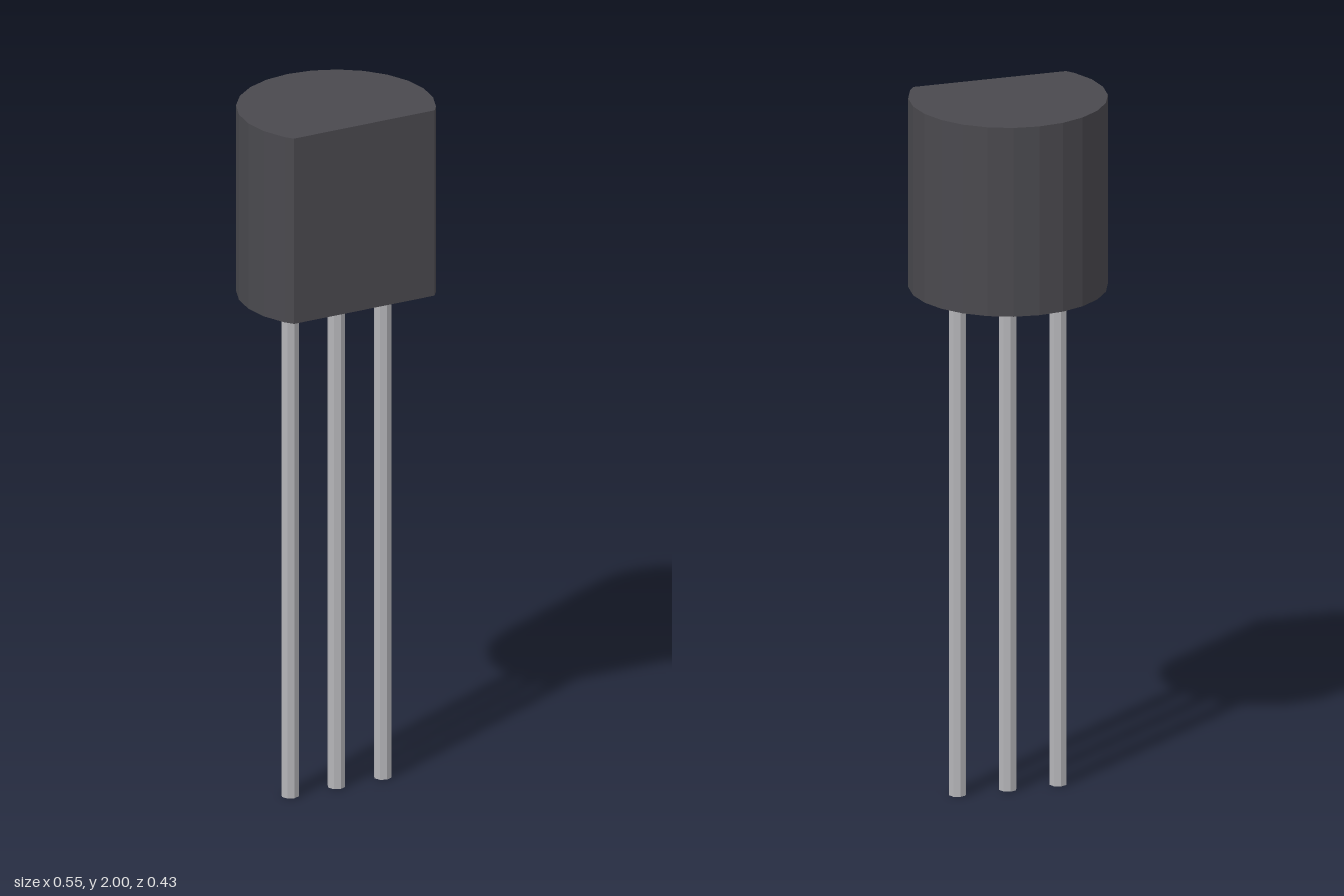
import * as THREE from 'three';

export function createModel() {
  const group = new THREE.Group();
  const plastic = new THREE.MeshStandardMaterial({ color: 0x4a494e, flatShading: true });
  plastic.name = 'dark plastic';
  const metal = new THREE.MeshStandardMaterial({ color: 0xb4b4b8, flatShading: true });
  metal.name = 'grey metal';

  const axisZ = 0.056, radius = 0.274, flatZ = 0.216, bottom = 1.455;

  // Body: 24-sided round outline cut by a flat face at the front
  const outline = [new THREE.Vector2(0.22, -flatZ)];
  for (let i = -2; i <= 14; i++) {
    const a = (i * Math.PI) / 12;
    outline.push(new THREE.Vector2(radius * Math.cos(a), radius * Math.sin(a) - axisZ));
  }
  outline.push(new THREE.Vector2(-0.22, -flatZ));
  const bodyGeometry = new THREE.ExtrudeGeometry(new THREE.Shape(outline), {
    depth: 2 - bottom, bevelEnabled: false,
  });
  bodyGeometry.rotateX(-Math.PI / 2);
  const body = new THREE.Mesh(bodyGeometry, plastic);
  body.name = 'body';
  body.position.y = bottom;
  group.add(body);

  // Three straight wire legs in a row below the body
  const legGeometry = new THREE.CylinderGeometry(0.025, 0.025, bottom, 8);
  ['rightLeg', 'middleLeg', 'leftLeg'].forEach((name, i) => {
    const leg = new THREE.Mesh(legGeometry, metal);
    leg.name = name;
    leg.position.set((i - 1) * 0.145, bottom / 2, axisZ + 0.002);
    group.add(leg);
  });

  return group;
}
